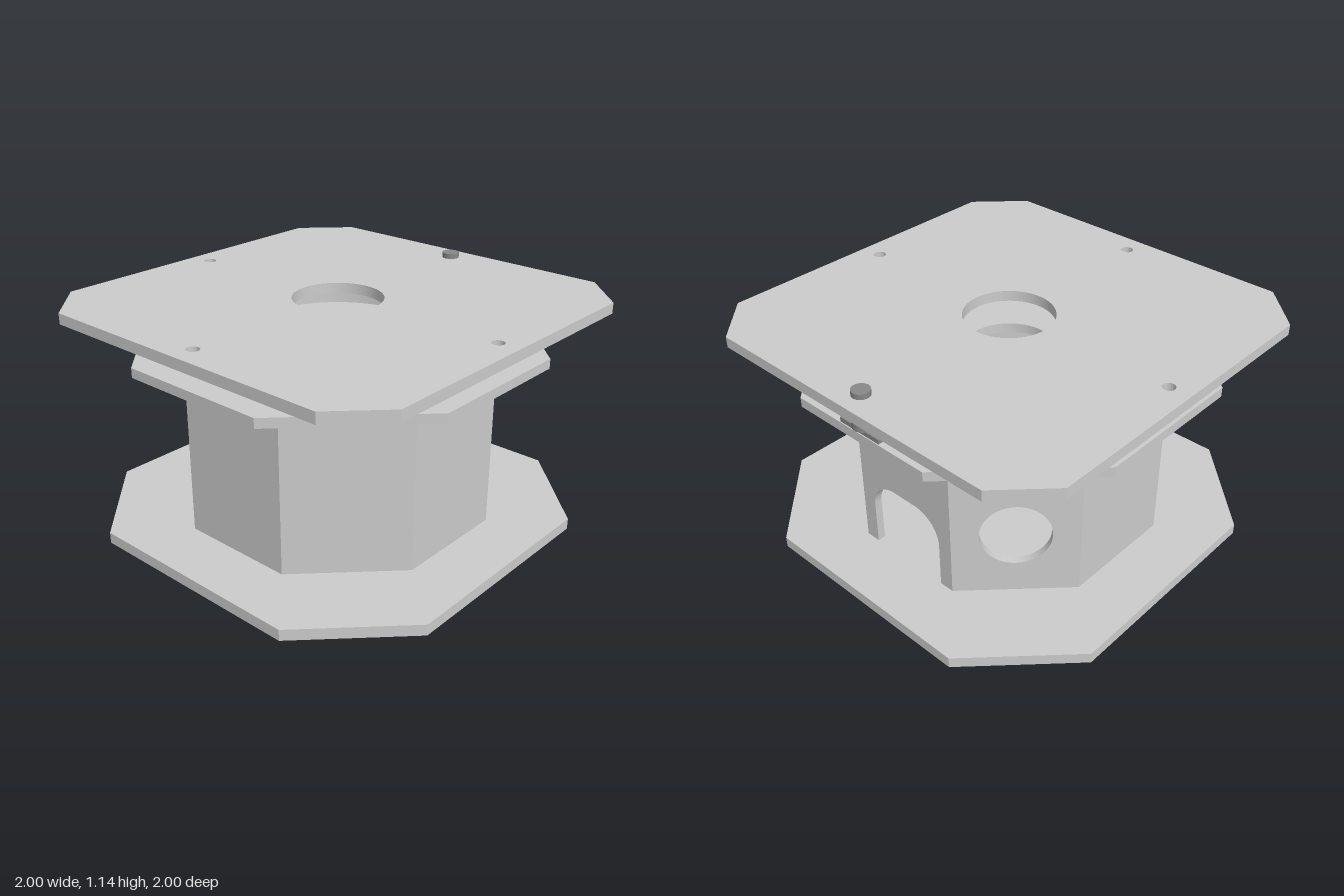
import * as THREE from 'three';
import { toCreasedNormals } from 'three/addons/utils/BufferGeometryUtils.js';

const grey = new THREE.MeshStandardMaterial({ color: 0xcccccc });
const dark = new THREE.MeshStandardMaterial({ color: 0x888888 });

function addMesh(parent, name, geometry, material = grey) {
  const mesh = new THREE.Mesh(geometry, material);
  mesh.name = name;
  parent.add(mesh);
  return mesh;
}

// Square of the given half size with cut corners; c is where the cut begins
function cutSquare(h, c) {
  return new THREE.Shape([
    [h, -c], [h, c], [c, h], [-c, h], [-h, c], [-h, -c], [-c, -h], [c, -h],
  ].map(([x, y]) => new THREE.Vector2(x, y)));
}

function addHole(shape, x, y, r) {
  shape.holes.push(new THREE.Path().absarc(x, y, r, 0, Math.PI * 2, true));
}

// Extrude a plan shape upward from y0 to y1
function slab(shape, y0, y1) {
  const g = new THREE.ExtrudeGeometry(shape, { depth: y1 - y0, bevelEnabled: false, curveSegments: 32 });
  g.rotateX(-Math.PI / 2).translate(0, y0, 0);
  return toCreasedNormals(g, 0.5);
}

// One mitred wall of the octagonal housing, optionally with an opening
function wallPanel(opening) {
  const outer = 0.705, thick = 0.04, bottom = 0.055, top = 0.885;
  const slope = Math.tan(Math.PI / 8), w = outer * slope;
  const s = new THREE.Shape();
  s.moveTo(-w, bottom);
  if (opening === 'door') {
    const d = 0.217, r = 0.15, doorTop = 0.437;
    s.lineTo(-d, bottom);
    s.lineTo(-d, doorTop - r);
    s.absarc(-d + r, doorTop - r, r, Math.PI, Math.PI / 2, true);
    s.absarc(d - r, doorTop - r, r, Math.PI / 2, 0, true);
    s.lineTo(d, bottom);
  }
  s.lineTo(w, bottom);
  s.lineTo(w, top);
  s.lineTo(-w, top);
  s.closePath();
  if (opening === 'round') addHole(s, 0, 0.385, 0.165);
  const g = new THREE.ExtrudeGeometry(s, { depth: thick, bevelEnabled: false, curveSegments: 32 });
  g.translate(0, 0, outer - thick);
  const p = g.attributes.position;
  for (let i = 0; i < p.count; i++) {
    if (Math.abs(p.getX(i)) > w - 1e-4) p.setX(i, Math.sign(p.getX(i)) * p.getZ(i) * slope);
  }
  return toCreasedNormals(g, 0.5);
}

export function createModel() {
  const model = new THREE.Group();
  model.name = 'turntableStand';

  // Base
  addMesh(model, 'basePlate', slab(cutSquare(1, 0.565), 0, 0.055));

  // Hollow housing: door on the left side, round windows beside it
  const housing = new THREE.Group();
  housing.name = 'housing';
  model.add(housing);
  const openings = { 1: 'round', 2: 'door', 3: 'round' };
  for (let k = 0; k < 8; k++) {
    addMesh(housing, 'housingWall', wallPanel(openings[k])).rotation.y = k * Math.PI / 4;
  }

  // Middle plate with cable hole
  const middle = cutSquare(0.925, 0.383);
  addHole(middle, 0, 0, 0.217);
  addMesh(model, 'middlePlate', slab(middle, 0.885, 0.932));

  // Bearing ring
  const ring = new THREE.Shape().absarc(0, 0, 0.49, 0, Math.PI * 2, false);
  addHole(ring, 0, 0, 0.45);
  addMesh(model, 'bearingRing', slab(ring, 0.932, 1.057));

  // Top plate: through holes, plus blind screw holes in its lower layer
  const upper = cutSquare(1, 0.783), lower = cutSquare(1, 0.783);
  for (const s of [upper, lower]) addHole(s, 0, 0, 0.217);
  for (const [x, y] of [[0.89, 0], [-0.89, 0], [0, 0.89], [0, -0.89]]) {
    for (const s of [upper, lower]) addHole(s, x, y, 0.03);
    for (const dx of [-0.08, 0.08]) {
      for (const dy of [-0.08, 0.08]) addHole(lower, x + dx, y + dy, 0.016);
    }
  }
  addMesh(model, 'topPlateLower', slab(lower, 1.057, 1.085));
  addMesh(model, 'topPlateUpper', slab(upper, 1.085, 1.11));

  // Locking pin and its bracket
  const pin = new THREE.Group();
  pin.name = 'lockingPin';
  pin.position.x = 0.89;
  model.add(pin);
  addMesh(pin, 'pinBody', new THREE.CylinderGeometry(0.053, 0.053, 0.104, 32), dark).position.y = 1.006;
  addMesh(pin, 'pinTip', new THREE.CylinderGeometry(0.043, 0.043, 0.08, 32), dark).position.y = 1.096;
  const bracket = new THREE.Shape([
    [0.92, -0.12], [0.92, 0.12], [0.755, 0.12], [0.73, 0.095], [0.73, -0.095], [0.755, -0.12],
  ].map(([x, y]) => new THREE.Vector2(x, y)));
  addMesh(model, 'pinBracket', slab(bracket, 0.925, 0.955), dark);

  return model;
}
